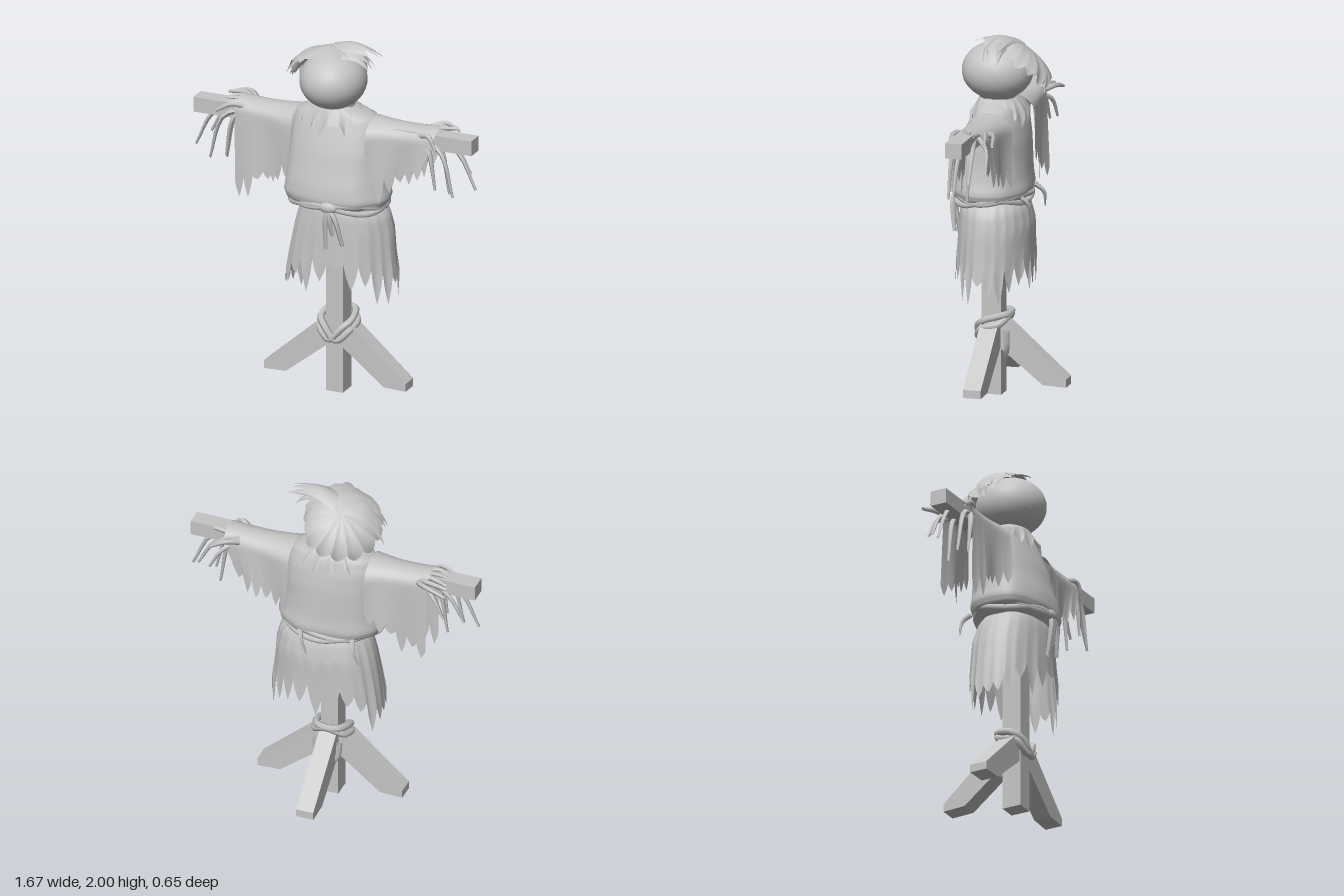
import * as THREE from 'three';
import { mergeVertices } from 'three/addons/utils/BufferGeometryUtils.js';

const grey = new THREE.MeshStandardMaterial({ color: 0xc4c4c4, side: THREE.DoubleSide });
grey.name = 'light grey';
const V = (x, y, z) => new THREE.Vector3(x, y, z);

// small seeded random numbers
let seed = 7;
const rnd = (a = 0, b = 1) => {
  seed = (seed * 16807) % 2147483647;
  return a + (b - a) * (seed / 2147483647);
};

// ragged hem: returns 0 at the notches and a varying depth at each tip
function ragged(teeth, min, max) {
  const depth = Array.from({ length: teeth }, () => rnd(min, max));
  return (u) => {
    const p = u * teeth, k = Math.floor(p) % teeth;
    return depth[k] * Math.pow(1 - Math.abs(2 * (p - Math.floor(p)) - 1), 0.7);
  };
}

// cloth sheet from a rule (u to the right, v downward)
function sheet(fn, nu, nv) {
  const g = new THREE.PlaneGeometry(1, 1, nu, nv);
  const pos = g.attributes.position;
  for (let i = 0; i < pos.count; i++) {
    const p = fn((i % (nu + 1)) / nu, Math.floor(i / (nu + 1)) / nv);
    pos.setXYZ(i, p.x, p.y, p.z);
  }
  g.deleteAttribute('uv');
  g.deleteAttribute('normal');
  const m = mergeVertices(g, 1e-5);
  m.computeVertexNormals();
  return m;
}

// value from a list of rows at 0..1
function row(rows, v) {
  const p = v * (rows.length - 1), k = Math.min(Math.floor(p), rows.length - 2), f = p - k;
  return rows[k].map((a, i) => a + (rows[k + 1][i] - a) * f);
}

// rounded garment: rows are [y, centre x, radius x, centre z, radius z]; a low power is boxier
function garment(rows, hem, folds, power, nu, nv) {
  const soft = (s) => Math.sign(s) * Math.pow(Math.abs(s), power);
  return sheet((u, v) => {
    const a = u * Math.PI * 2, [y, cx, rx, cz, rz] = row(rows, v);
    const f = 1 + folds * v * (Math.sin(5 * a) + 0.7 * Math.sin(8 * a + 1 + 3 * v));
    return V(cx + rx * f * soft(Math.sin(a)), y - hem(u) * v * v, cz + rz * f * soft(Math.cos(a)));
  }, nu, nv);
}

// tapering strand along points
function strand(points, r, tip = 0.25) {
  const curve = new THREE.CatmullRomCurve3(points), seg = 8, sides = 5;
  const g = new THREE.TubeGeometry(curve, seg, r, sides);
  const pos = g.attributes.position, p = V(0, 0, 0);
  for (let i = 0; i < pos.count; i++) {
    const t = Math.floor(i / (sides + 1)) / seg;
    const c = curve.getPointAt(t);
    p.fromBufferAttribute(pos, i).sub(c).multiplyScalar(1 - (1 - tip) * t).add(c);
    pos.setXYZ(i, p.x, p.y, p.z);
  }
  g.computeVertexNormals();
  return g;
}
const loop = (points, r) =>
  new THREE.TubeGeometry(new THREE.CatmullRomCurve3(points, true), 40, r, 6, true);

// arched lock of hair along points, spread across z, with a ragged end
function lock(points, width) {
  const curve = new THREE.CatmullRomCurve3(points), cut = ragged(4, 0.15, 0.4);
  return sheet((u, v) => {
    const s = 2 * u - 1, p = curve.getPoint(v * (0.6 + cut(u)));
    return V(p.x, p.y - 0.035 * s * s, p.z + s * width * (1 - 0.35 * v));
  }, 24, 8);
}

export function createModel() {
  const model = new THREE.Group();
  model.name = 'scarecrow';
  const add = (name, geometry) => {
    const m = new THREE.Mesh(geometry, grey);
    m.name = name;
    model.add(m);
    return m;
  };

  // wooden frame
  add('post', new THREE.BoxGeometry(0.1, 1.62, 0.11)).position.set(0.02, 0.81, 0.09);
  const bar = add('crossbar', new THREE.BoxGeometry(1.65, 0.085, 0.095));
  bar.position.set(0, 1.53, 0.08);
  bar.rotation.z = 0.008;

  // three splayed legs
  const outline = [[0, 0.3], [0.29, 0.07], [0.42, 0.065], [0.42, 0.11], [0.08, 0.41], [0, 0.4]];
  const legShape = new THREE.Shape(outline.map(([x, y]) => new THREE.Vector2(x, y)));
  const legGeo = new THREE.ExtrudeGeometry(legShape, { depth: 0.1, bevelEnabled: false });
  legGeo.translate(0, 0, -0.05);
  [['leftLeg', 0], ['backLeg', Math.PI / 2], ['rightLeg', Math.PI]].forEach(([name, turn]) => {
    const leg = add(name, legGeo);
    leg.position.set(0.02, 0, 0.09);
    leg.rotation.y = turn;
  });

  // crossed lashings round the leg joint
  for (const s of [-1, 1]) {
    const x = (d) => 0.02 + s * d;
    add('lashing', loop([V(x(-0.09), 0.42, 0.12), V(x(-0.05), 0.38, 0.165), V(x(0.02), 0.31, 0.17),
      V(x(0.09), 0.37, 0.14), V(x(0.09), 0.4, 0.04), V(x(0.03), 0.44, 0), V(x(-0.06), 0.45, 0.01)], 0.02));
    add('lashingEnd', strand([V(x(0.07), 0.36, 0), V(x(0.06), 0.27, 0), V(x(0.02), 0.21, 0.01)], 0.018, 0.8));
  }

  // shirt, collar and skirt
  add('shirt', garment([
    [1.645, 0, 0.1, 0.07, 0.09], [1.6, 0, 0.23, 0.06, 0.115], [1.52, 0.005, 0.26, 0.06, 0.145],
    [1.42, 0.01, 0.27, 0.07, 0.17], [1.32, 0.01, 0.275, 0.08, 0.185], [1.23, 0.015, 0.285, 0.09, 0.2],
    [1.16, 0.02, 0.3, 0.09, 0.21], [1.12, 0.02, 0.285, 0.09, 0.2], [1.09, 0.025, 0.21, 0.085, 0.16]],
    () => 0, 0.014, 0.87, 72, 24));
  add('collar', garment([[1.65, 0, 0.11, 0.07, 0.1], [1.615, 0, 0.18, 0.06, 0.13],
    [1.575, 0, 0.23, 0.06, 0.155]], ragged(17, 0.01, 0.1), 0.015, 1, 102, 6));
  const teeth = ragged(23, 0.02, 0.2);
  add('skirt', garment([[1.12, 0.04, 0.2, 0.08, 0.16], [1.06, 0.05, 0.255, 0.07, 0.185],
    [0.98, 0.045, 0.283, 0.064, 0.198], [0.87, 0.037, 0.303, 0.068, 0.2], [0.8, 0.035, 0.32, 0.07, 0.203]],
    (u) => {
      const side = Math.sin(u * Math.PI * 2);
      return teeth(u) + (side < 0 ? 0.17 : 0.09) * Math.pow(Math.abs(side), 3);
    }, 0.014, 0.95, 138, 12));

  // sleeves draped over the crossbar
  const sleeve = (name, x0, x1, d0, d1, tear, lean) => {
    const front = ragged(6, tear * 0.2, tear), back = ragged(6, tear * 0.2, tear);
    add(name, sheet((u, v) => {
      const s = 2 * v - 1, side = Math.sign(s), n = Math.abs(s);
      const outer = x0 < 0 ? 1 - u : u;
      const w = 0.09 + 0.04 * (1 - outer) ** 3, top = 1.605 - 0.01 * Math.sin(Math.PI * outer);
      const x = x0 + (x1 - x0) * u;
      if (n <= 0.4) {
        const a = (n / 0.4) * Math.PI / 2;
        return V(x, top - w * (1 - Math.cos(a)) * 0.8, 0.06 + side * w * Math.sin(a));
      }
      const t = (n - 0.4) / 0.6, fall = d0 + (d1 - d0) * u + (side > 0 ? front(u) : back(u)) - 0.8 * w;
      return V(x - Math.sign(x) * lean * t * outer, top - 0.8 * w - t * fall,
        0.06 + side * w * (1 + 0.08 * t) + 0.012 * t * Math.sin(24 * x));
    }, 48, 30));
  };
  sleeve('rightSleeve', -0.57, -0.22, 0.47, 0.29, 0.13, 0);
  sleeve('leftSleeve', 0.22, 0.61, 0.34, 0.21, 0.15, 0.06);

  // rope belt with knot and hanging ends
  const belt = (y, amp, phase) => loop(Array.from({ length: 16 }, (_, i) => {
    const a = i / 16 * Math.PI * 2;
    return V(0.025 + 0.275 * Math.sin(a), y + amp * Math.sin(3 * a + phase), 0.09 + 0.2 * Math.cos(a));
  }), 0.016);
  add('belt', belt(1.125, 0.015, 0));
  add('belt', belt(1.11, 0.02, 2));
  const knot = add('beltKnot', new THREE.SphereGeometry(0.04, 10, 8));
  knot.position.set(0.05, 1.125, 0.29);
  knot.scale.set(1.4, 0.8, 0.7);
  for (const [x, y] of [[0.03, 0.88], [0.07, 0.96], [0.13, 0.91]])
    add('beltEnd', strand([V(0.05, 1.12, 0.29), V((x + 0.05) / 2, 1.07, 0.3), V(x, y, 0.28)], 0.018, 0.6));
  for (const x of [-0.16, 0.14])
    add('beltEnd', strand([V(x, 1.13, -0.09), V(x - 0.02, 1.09, -0.13), V(x - 0.05, 1.0, -0.13)], 0.016));

  // straw hands
  for (const s of [-1, 1]) {
    const ends = [[0.83, 1.28, 0.08], [0.72, 1.24, 0.14], [0.66, 1.22, 0.05], [0.77, 1.34, 0.01],
      [0.62, 1.27, 0.15], [0.68, 1.38, -0.06]];
    for (const [x, y, z] of ends)
      add('handStraw', strand([V(s * 0.52, 1.54, 0.08 + (z - 0.08) * 0.4),
        V(s * (0.5 + (x - 0.5) * 0.65), 1.49, 0.08 + (z - 0.08) * 0.9), V(s * x, y, z)], 0.018, 0.4));
    for (let i = 0; i < 6; i++) {
      const z = -0.09 + i * 0.05;
      add('cuffStraw', strand([V(s * 0.52, 1.56, 0.07 + (z - 0.07) * 0.6), V(s * 0.58, 1.575, z * 0.9 + 0.007),
        V(s * rnd(0.61, 0.7), rnd(1.5, 1.6), z)], 0.018, 0.5));
    }
  }

  // head
  const centre = V(-0.015, 1.787, 0.08), size = V(0.183, 0.16, 0.195);
  const head = add('head', new THREE.SphereGeometry(1, 32, 20));
  head.position.copy(centre);
  head.scale.copy(size);

  // shaggy hair swept to the back and right
  const lean = new THREE.Quaternion().setFromUnitVectors(V(0, 1, 0), V(-0.33, 0.75, -0.58).normalize());
  const hairCap = (spread, lift, flare, cut) => sheet((u, v) => {
    const a = u * Math.PI * 2, polar = v * (spread + cut(u) * v);
    const d = V(Math.sin(polar) * Math.sin(a), Math.cos(polar), Math.sin(polar) * Math.cos(a)).applyQuaternion(lean);
    const out = Math.max(0, -d.x * 0.65 - d.z * 0.75);
    const k = lift + 0.015 * Math.sin(5 * a) * v + flare * out * v * v;
    return d.multiply(size).multiplyScalar(k).add(centre);
  }, 102, 14);
  add('hair', hairCap(1.02, 1.14, 0.46, ragged(17, 0.04, 0.32)));
  add('hairUnderlayer', hairCap(0.94, 1.08, 0.36, ragged(14, 0.05, 0.35)));

  // loose locks of hair
  add('leftLock', lock([V(-0.04, 1.97, 0.02), V(0.07, 1.997, 0.03), V(0.17, 1.985, 0.04), V(0.26, 1.95, 0.05)], 0.08));
  add('leftLock', lock([V(-0.02, 1.955, 0.05), V(0.08, 1.965, 0.06), V(0.16, 1.94, 0.06), V(0.22, 1.87, 0.06)], 0.08));
  add('rightLock', lock([V(-0.06, 1.96, 0.05), V(-0.18, 1.93, 0.06), V(-0.26, 1.85, 0.06), V(-0.33, 1.72, 0.05)], 0.11));

  return model;
}
